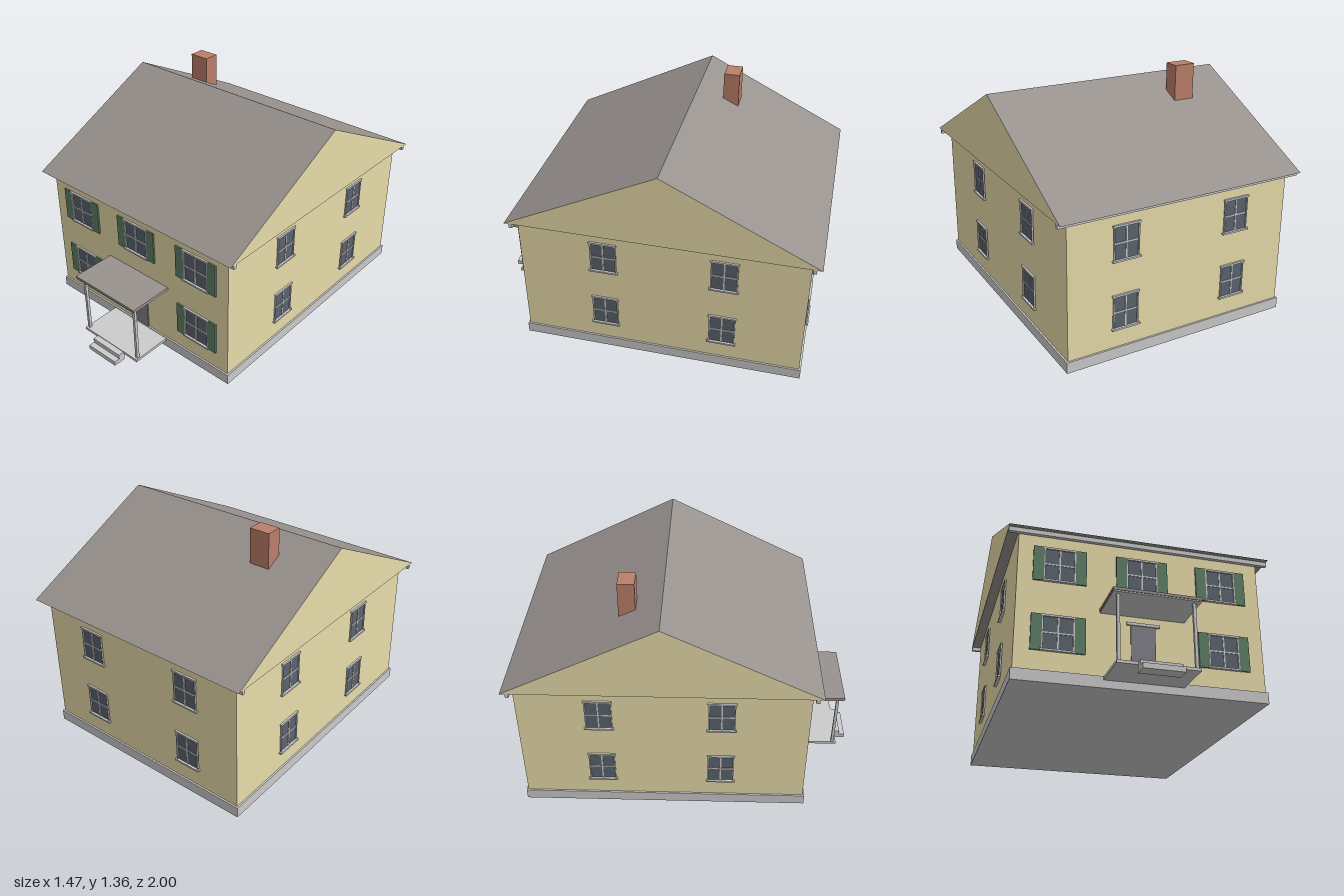
import * as THREE from 'three';

const mat = (color) => new THREE.MeshStandardMaterial({ color });
const M = {
  trim: mat(0xcccccc), wall: mat(0xe9ddab), roof: mat(0x99938f), brick: mat(0xbc7f6a),
  shutter: mat(0x5f8068), glass: mat(0x5c646f), door: mat(0x83818a),
};

// Box given by its extents on each axis
function box(parent, name, material, [x0, x1], [y0, y1], [z0, z1]) {
  const mesh = new THREE.Mesh(new THREE.BoxGeometry(x1 - x0, y1 - y0, z1 - z0), material);
  mesh.position.set((x0 + x1) / 2, (y0 + y1) / 2, (z0 + z1) / 2);
  mesh.name = name;
  parent.add(mesh);
  return mesh;
}

// Window facing +z, its wall plane at z = 0 and its centre at the origin
function makeWindow(name, width, shutters) {
  const g = new THREE.Group();
  g.name = name;
  const w = width / 2, h = 0.095, f = 0.007;
  box(g, 'glass', M.glass, [-w, w], [-h, h], [-0.005, 0.003]);
  for (const s of [-1, 1]) {
    const a = s * w, b = s * (w - f);
    box(g, 'jamb', M.trim, [Math.min(a, b), Math.max(a, b)], [-h, h], [-0.005, 0.009]);
  }
  box(g, 'verticalBar', M.trim, [-0.004, 0.004], [-h, h], [-0.005, 0.006]);
  box(g, 'horizontalBar', M.trim, [-w, w], [-0.004, 0.004], [-0.005, 0.006]);
  box(g, 'header', M.trim, [-w - 0.005, w + 0.005], [h - 0.006, h + 0.005], [-0.005, 0.011]);
  box(g, 'sill', M.trim, [-w - 0.008, w + 0.008], [-h - 0.006, -h + 0.004], [-0.005, 0.016]);
  if (shutters) {
    box(g, 'leftShutter', M.shutter, [w, w + 0.058], [-0.1, 0.1], [-0.005, 0.009]);
    box(g, 'rightShutter', M.shutter, [-w - 0.058, -w], [-0.1, 0.1], [-0.005, 0.009]);
  }
  return g;
}

// Triangular prism across the house, spanning -halfWidth to halfWidth in x
function gablePrism(halfWidth) {
  const s = new THREE.Shape();
  s.moveTo(-0.735, 0.845);
  s.lineTo(0.997, 0.845);
  s.lineTo(0.134, 1.275);
  s.closePath();
  const geo = new THREE.ExtrudeGeometry(s, { depth: 2 * halfWidth, bevelEnabled: false });
  geo.translate(0, 0, -halfWidth);
  geo.rotateY(Math.PI / 2); // profile x becomes -z
  return geo;
}

export function createModel() {
  const house = new THREE.Group();
  house.name = 'house';

  // Main body
  box(house, 'foundation', M.trim, [-0.685, 0.685], [0, 0.063], [-0.953, 0.69]);
  box(house, 'walls', M.wall, [-0.675, 0.675], [0.06, 0.846], [-0.943, 0.68]);

  // Roof with wall-coloured gable ends
  const roof = new THREE.Mesh(gablePrism(0.733), [M.wall, M.roof]);
  roof.name = 'roof';
  house.add(roof);
  box(house, 'frontGutter', M.trim, [-0.733, 0.733], [0.82, 0.845], [0.687, 0.707]);
  box(house, 'backGutter', M.trim, [-0.733, 0.733], [0.82, 0.845], [-0.967, -0.948]);
  box(house, 'chimney', M.brick, [-0.44, -0.317], [1.0, 1.36], [-0.373, -0.28]);

  // Windows on two floors
  const place = (name, width, shutters, x, y, z, turn) => {
    const win = makeWindow(name, width, shutters);
    win.position.set(x, y, z);
    win.rotation.y = turn;
    house.add(win);
  };
  for (const y of [0.27, 0.661]) {
    for (const x of [-0.45, 0, 0.45]) {
      if (x !== 0 || y > 0.5) place('frontWindow', 0.17, true, x, y, 0.68, 0);
    }
    for (const x of [-0.34, 0.34]) place('backWindow', 0.15, false, x, y, -0.943, Math.PI);
    for (const z of [0.193, -0.488]) {
      for (const s of [-1, 1]) place('sideWindow', 0.15, false, s * 0.675, y, z, s * Math.PI / 2);
    }
  }

  // Front door
  box(house, 'door', M.door, [-0.067, 0.067], [0.06, 0.366], [0.675, 0.686]);
  box(house, 'doorHeader', M.trim, [-0.09, 0.09], [0.363, 0.379], [0.675, 0.692]);

  // Porch
  const porch = new THREE.Group();
  porch.name = 'porch';
  house.add(porch);
  box(porch, 'porchFloor', M.trim, [-0.215, 0.215], [0.043, 0.059], [0.68, 0.93]);
  for (const x of [-0.2, 0.2]) {
    box(porch, 'porchPost', M.trim, [x - 0.008, x + 0.008], [0.055, 0.42], [0.9, 0.917]);
  }
  box(porch, 'porchRoofTrim', M.trim, [-0.232, 0.232], [0.415, 0.423], [0.675, 0.942]);
  box(porch, 'porchRoof', M.roof, [-0.235, 0.235], [0.422, 0.437], [0.675, 0.946]);
  box(porch, 'lowerStep', M.trim, [-0.108, 0.108], [0, 0.028], [0.925, 1.0]);
  box(porch, 'upperStep', M.trim, [-0.108, 0.108], [0.028, 0.055], [0.925, 0.965]);

  return house;
}
